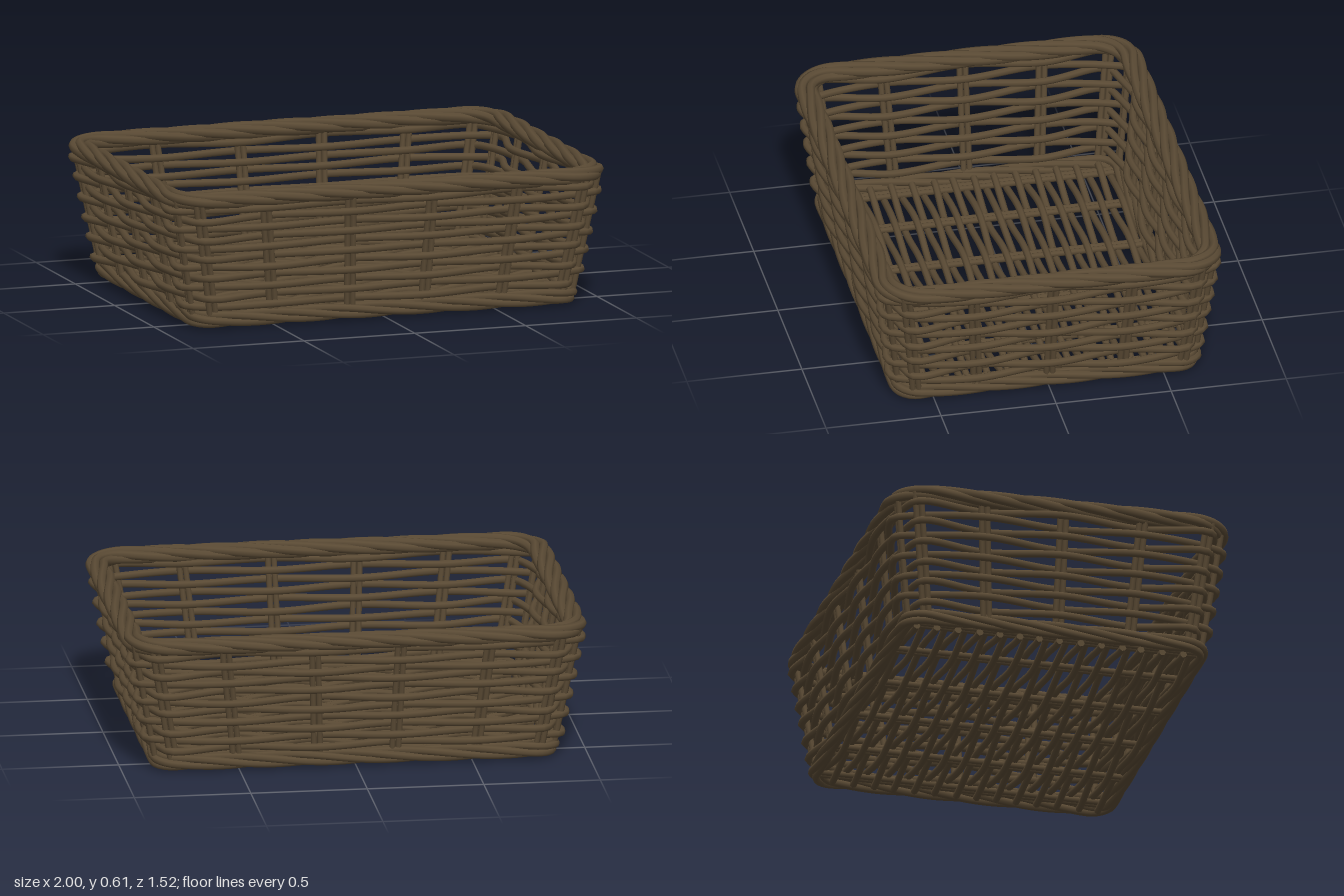
import * as THREE from 'three';

const wicker = new THREE.MeshStandardMaterial({ color: 0x5a4a34 });
wicker.name = 'dark wicker';

// Small seeded noise so the cane looks hand woven
let seed = 7;
const jitter = (a) => {
  seed = (seed * 16807) % 2147483647;
  return (seed / 2147483647 - 0.5) * 2 * a;
};
const V = (x, y, z) => new THREE.Vector3(x, y, z);
const lerp = THREE.MathUtils.lerp;

// One cane following a smooth path through the points
function cane(name, points, radius, segments, closed = false) {
  const curve = new THREE.CatmullRomCurve3(points, closed, 'centripetal');
  const mesh = new THREE.Mesh(new THREE.TubeGeometry(curve, segments, radius, 7, closed), wicker);
  mesh.name = name;
  return mesh;
}

// Disc that closes an open cane end
function endCap(position, direction, radius) {
  const cap = new THREE.Mesh(new THREE.CircleGeometry(radius, 7), wicker);
  cap.position.copy(position);
  cap.lookAt(position.clone().add(direction));
  cap.name = 'caneEnd';
  return cap;
}

// Wall flares outward from base to rim
const Y0 = 0.045, Y1 = 0.575;
const wallSize = (y) => {
  const t = (y - 0.1) / 0.43;
  return [lerp(0.865, 0.945, t), lerp(0.65, 0.705, t)];
};

// Stake stations in order round the basket: position, outward normal
const longSide = [-0.915, -0.6, -0.195, 0.195, 0.6, 0.915];
const shortSide = [0.9, 0.49, 0, -0.49, -0.9];
const stations = [
  ...longSide.map((f) => ({ x: f, z: 1, nx: 0, nz: 1 })),
  ...shortSide.map((f) => ({ x: 1, z: f, nx: 1, nz: 0 })),
  ...longSide.map((f) => ({ x: -f, z: -1, nx: 0, nz: -1 })),
  ...shortSide.map((f) => ({ x: -1, z: -f, nx: -1, nz: 0 })),
];

function buildWalls() {
  const walls = new THREE.Group();
  walls.name = 'walls';
  // Upright stakes, in pairs
  for (const s of stations) {
    for (const side of [-1, 1]) {
      const ends = [Y0, Y1].map((y) => {
        const [hx, hz] = wallSize(y);
        return V(s.x * hx + s.nz * side * 0.013, y, s.z * hz + s.nx * side * 0.013);
      });
      walls.add(cane('stake', ends, 0.013, 1));
    }
  }
  // Horizontal weavers passing alternately outside and inside the stakes
  const rows = 11;
  for (let i = 0; i < rows; i++) {
    const y = lerp(0.1, 0.53, i / (rows - 1));
    const [hx, hz] = wallSize(y);
    const points = stations.map((s, k) => {
      const out = (k + i) % 2 ? 0.024 : -0.024;
      return V(s.x * hx + s.nx * out, y + jitter(0.004), s.z * hz + s.nz * out);
    });
    walls.add(cane('wallWeaver', points, 0.0165, 176, true));
  }
  return walls;
}

// Rope border: strands twisted round a rounded rectangle
function buildBorder(name, { hx, hz, corner, y, wide, tall, radius, strands, turns }) {
  const border = new THREE.Group();
  border.name = name;
  const ax = hx - corner, az = hz - corner, q = Math.PI / 2;
  const outline = new THREE.Shape();
  [[ax, az], [-ax, az], [-ax, -az], [ax, -az]].forEach(([cx, cz], k) => {
    outline.absarc(cx, cz, corner, k * q, (k + 1) * q, false);
  });
  outline.closePath();
  const n = 200;
  const path = outline.getSpacedPoints(n).slice(0, n);
  for (let s = 0; s < strands; s++) {
    const points = path.map((p, i) => {
      const t = path[(i + 1) % n].clone().sub(path[(i + n - 1) % n]).normalize();
      const a = 2 * Math.PI * (turns * i / n + s / strands);
      const out = Math.cos(a) * wide;
      return V(p.x + t.y * out, y + Math.sin(a) * tall, p.y - t.x * out);
    });
    border.add(cane('borderStrand', points, radius, 240, true));
  }
  return border;
}

function buildFloor() {
  const floor = new THREE.Group();
  floor.name = 'floor';
  // Paired ribs running front to back
  const ribs = [-0.78, -0.51, -0.17, 0.17, 0.51, 0.78];
  for (const x of ribs) {
    for (const side of [-0.013, 0.013]) {
      floor.add(cane('floorRib', [V(x + side, 0.038, -0.65), V(x + side, 0.038, 0.65)], 0.013, 1));
    }
  }
  // Weavers running side to side, over and under the ribs
  const rows = 28;
  for (let i = 0; i < rows; i++) {
    const z = lerp(-0.605, 0.605, i / (rows - 1));
    const points = ribs.map((x, k) =>
      V(x, 0.038 + ((k + i) % 2 ? 0.022 : -0.022), z + jitter(0.006)));
    const first = points[0], last = points[points.length - 1];
    points.unshift(V(-0.81, first.y, first.z));
    points.push(V(0.81, last.y, last.z));
    floor.add(cane('floorWeaver', points, 0.0155, 48));
    floor.add(endCap(points[0], V(-1, 0, 0), 0.0155));
    floor.add(endCap(points[points.length - 1], V(1, 0, 0), 0.0155));
  }
  return floor;
}

export function createModel() {
  const basket = new THREE.Group();
  basket.name = 'wickerBasket';
  basket.add(
    buildWalls(),
    buildFloor(),
    buildBorder('topRim', {
      hx: 0.948, hz: 0.706, corner: 0.15, y: 0.574,
      wide: 0.032, tall: 0.018, radius: 0.02, strands: 5, turns: 6,
    }),
    buildBorder('baseRim', {
      hx: 0.852, hz: 0.647, corner: 0.09, y: 0.045,
      wide: 0.016, tall: 0.02, radius: 0.017, strands: 4, turns: 6,
    }),
  );
  return basket;
}
